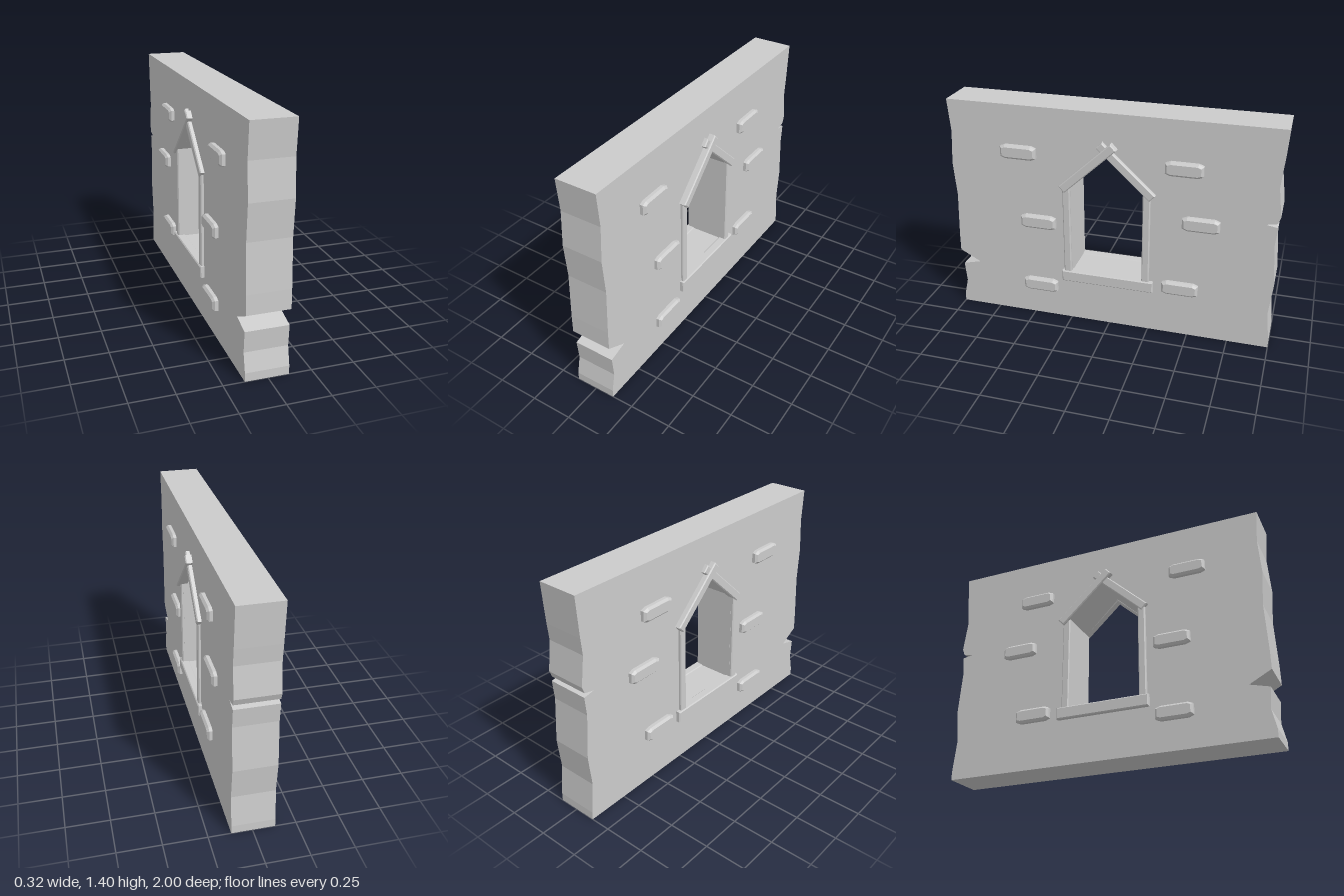
import * as THREE from 'three';

const material = new THREE.MeshStandardMaterial({ color: 0xcccccc, flatShading: true });

// Outlines are drawn as [z, y] points and extruded along x from x0 to x1.
// A hole runs the opposite way round to its outline.
function slab(name, points, x0, x1, bevel = 0, hole = null) {
  const toVec = ([z, y]) => new THREE.Vector2(-z, y);
  const shape = new THREE.Shape(points.map(toVec));
  if (hole) shape.holes.push(new THREE.Path(hole.map(toVec)));
  const geometry = new THREE.ExtrudeGeometry(shape, {
    depth: x1 - x0 - 2 * bevel,
    bevelEnabled: bevel > 0,
    bevelThickness: bevel,
    bevelSize: bevel,
    bevelOffset: -bevel,
    bevelSegments: 1,
  });
  geometry.translate(0, 0, x0 + bevel);
  geometry.rotateY(Math.PI / 2);
  const mesh = new THREE.Mesh(geometry, material);
  mesh.name = name;
  return mesh;
}

// Straight board between two [z, y] points.
function board(name, a, b, width, x0, x1) {
  const dz = b[0] - a[0], dy = b[1] - a[1];
  const k = width / 2 / Math.hypot(dz, dy);
  const nz = -dy * k, ny = dz * k;
  const corners = [
    [a[0] + nz, a[1] + ny], [b[0] + nz, b[1] + ny],
    [b[0] - nz, b[1] - ny], [a[0] - nz, a[1] - ny],
  ];
  return slab(name, corners, x0, x1, 0.006);
}

export function createModel() {
  const model = new THREE.Group();
  model.name = 'wallWithWindow';

  // Wall with weathered, notched ends and a gabled opening
  const frontEnd = [
    [1, 0], [1, 0.05], [0.975, 0.16], [0.985, 0.285], [0.87, 0.315], [1, 0.385],
    [0.998, 0.5], [0.985, 0.78], [1, 0.99], [0.985, 1.2], [1, 1.4],
  ];
  const backEnd = [
    [-1, 1.4], [-0.985, 1.16], [-0.976, 1.06], [-1, 0.88], [-0.985, 0.84], [-0.92, 0.827],
    [-0.99, 0.815], [-0.98, 0.7], [-1, 0.43], [-0.98, 0.24], [-1, 0.05], [-1, 0],
  ];
  const opening = [[-0.207, 0.345], [-0.207, 0.93], [0.012, 1.142], [0.24, 0.93], [0.24, 0.345]];
  model.add(slab('wall', [...frontEnd, ...backEnd], -0.13, 0.12, 0, opening));

  // Window frame on each face
  for (const side of [1, -1]) {
    const frame = new THREE.Group();
    frame.name = side > 0 ? 'leftWindowFrame' : 'rightWindowFrame';
    const add = (name, a, b, width, outer) => {
      const range = side > 0 ? [0.09, outer] : [-outer - 0.012, -0.1];
      frame.add(board(name, a, b, width, ...range));
    };
    add('frontPost', [0.264, 0.33], [0.264, 0.93], 0.046, 0.137);
    add('backPost', [-0.23, 0.33], [-0.23, 0.93], 0.046, 0.137);
    add('sill', [0.3, 0.314], [-0.28, 0.314], 0.072, 0.145);
    // Rafters cross at the peak, one lapping over the other
    add('frontRafter', [0.285, 0.912], [-0.035, 1.21], 0.052, side > 0 ? 0.16 : 0.143);
    add('backRafter', [-0.265, 0.912], [0.055, 1.21], 0.052, side > 0 ? 0.146 : 0.153);
    model.add(frame);
  }

  // Raised chamfered bricks showing on both faces
  const bricks = [
    [0.557, 1.112], [0.447, 0.666], [0.447, 0.221],
    [-0.445, 1.112], [-0.555, 0.777], [-0.445, 0.332],
  ];
  const w = 0.111, h = 0.043, cutZ = 0.03, cutY = 0.012;
  bricks.forEach(([z, y], i) => {
    const outline = [
      [w, -h + cutY], [w, h - cutY], [w - cutZ, h], [-w + cutZ, h],
      [-w, h - cutY], [-w, -h + cutY], [-w + cutZ, -h], [w - cutZ, -h],
    ].map(([dz, dy]) => [z + dz, y + dy]);
    const brick = new THREE.Group();
    brick.name = `brick${i + 1}`;
    brick.add(slab('leftBrickFace', outline, 0.08, 0.152, 0.013));
    brick.add(slab('rightBrickFace', outline, -0.163, -0.09, 0.013));
    model.add(brick);
  });

  return model;
}
